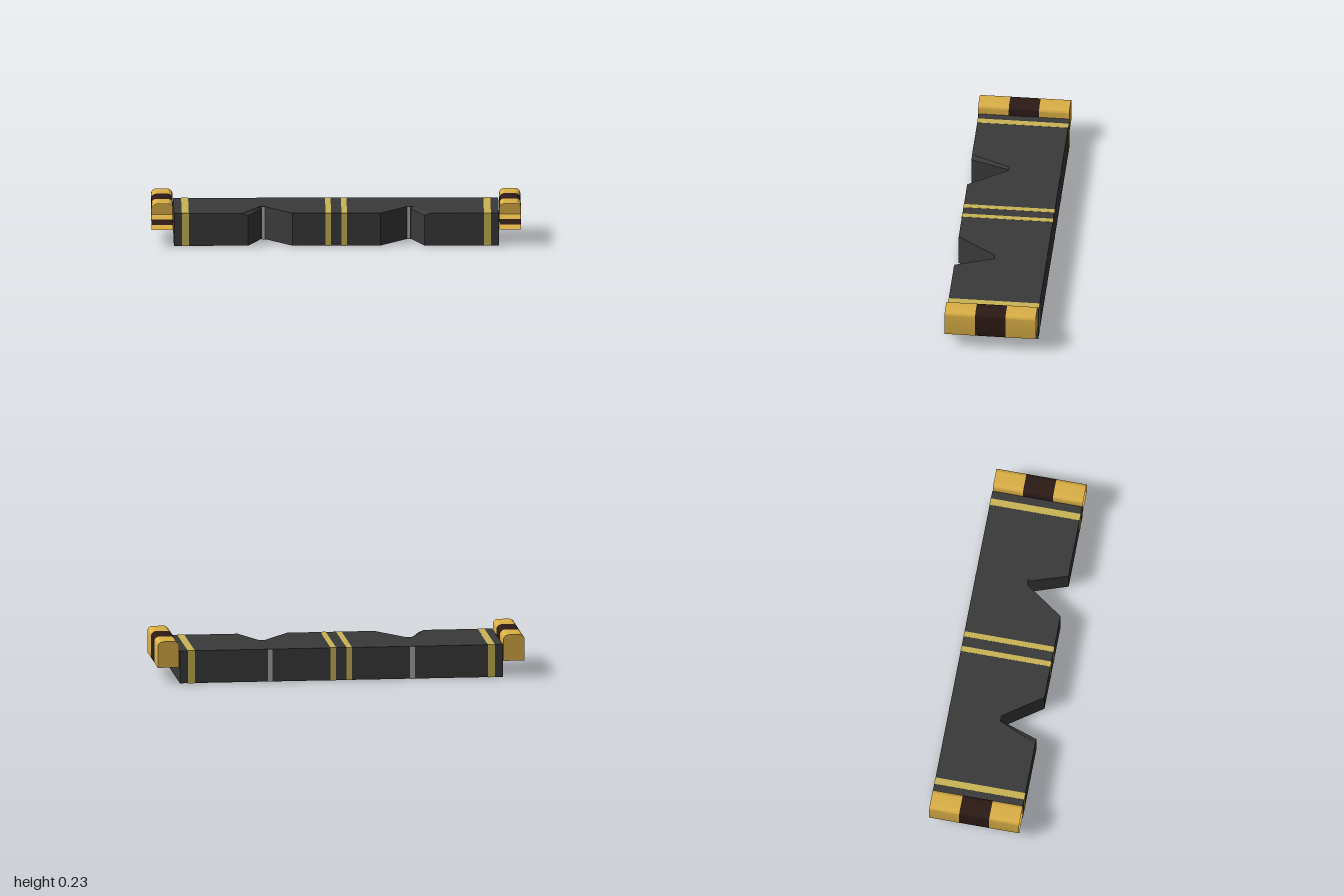
import * as THREE from 'three';
import { toCreasedNormals } from 'three/addons/utils/BufferGeometryUtils.js';

const mat = (color, side = THREE.FrontSide) => new THREE.MeshStandardMaterial({ color, side });

const HALF = 0.88, HEIGHT = 0.178, BEVEL = 0.012, BACK = -0.249, FRONT = 0.246;

// Plan outline of the plate with its two front notches, as (x, -z)
function outline() {
  const right = [[0.238, FRONT], [0.385, 0.035], [0.406, 0.035], [0.478, FRONT], [HALF, FRONT], [HALF, BACK]];
  const left = right.map(([x, z]) => [-x, z]).reverse();
  return new THREE.Shape([...left, ...right].map(([x, z]) => new THREE.Vector2(x, -z)));
}

function slab(y, depth) {
  const g = new THREE.ExtrudeGeometry(outline(), { depth, bevelEnabled: false });
  g.rotateX(-Math.PI / 2);
  g.translate(0, y, 0);
  return g;
}

// Push the top rim of each notch's outer edge outwards to form a bevel
function bevelNotches(g) {
  const p = g.attributes.position;
  for (let i = 0; i < p.count; i++) {
    const x = p.getX(i), ax = Math.abs(x);
    if (p.getY(i) > HEIGHT - 0.001 && ax > 0.4 && ax < 0.5) {
      p.setX(i, x + Math.sign(x) * (ax > 0.45 ? 0.03 : 0.01));
    }
  }
  g.computeVertexNormals();
  return g;
}

// Cross-section of an end bar: square below, rounded above
function barProfile() {
  const w = 0.058, y0 = 0.087, y1 = 0.23, r = 0.028;
  const s = new THREE.Shape();
  s.moveTo(-w, y0);
  s.lineTo(w, y0);
  s.lineTo(w, y1 - r);
  s.absarc(w - r, y1 - r, r, 0, Math.PI / 2);
  s.lineTo(-w + r, y1);
  s.absarc(-w + r, y1 - r, r, Math.PI / 2, Math.PI);
  s.lineTo(-w, y0);
  return s;
}

// Open tube of the bar profile between two depths
function barTube(z0, z1) {
  const pts = barProfile().getPoints(6);
  const v = [];
  for (let i = 0; i < pts.length - 1; i++) {
    const a = pts[i], b = pts[i + 1];
    if (a.distanceTo(b) < 1e-6) continue;
    v.push(a.x, a.y, z0, b.x, b.y, z0, b.x, b.y, z1, a.x, a.y, z0, b.x, b.y, z1, a.x, a.y, z1);
  }
  const g = new THREE.BufferGeometry();
  g.setAttribute('position', new THREE.Float32BufferAttribute(v, 3));
  return toCreasedNormals(g, 0.6);
}

export function createModel() {
  const model = new THREE.Group();
  const dark = mat(0x3a3a3a), yellow = mat(0xc9b455), grey = mat(0xa9a9a9);
  const gold = mat(0xdbb046, THREE.DoubleSide), brown = mat(0x2c1a16, THREE.DoubleSide);

  const add = (name, geometry, material, parent = model) => {
    const m = new THREE.Mesh(geometry, material);
    m.name = name;
    parent.add(m);
    return m;
  };

  // Notched plate
  add('plate', slab(0, HEIGHT - BEVEL), dark);
  add('plateTop', bevelNotches(slab(HEIGHT - BEVEL, BEVEL)), dark);

  for (const side of [-1, 1]) {
    // Yellow bands wrapping the plate
    for (const [x, w] of [[0.818, 0.038], [0.043, 0.03]]) {
      const band = add('yellowBand', new THREE.BoxGeometry(w, HEIGHT + 0.002, FRONT - BACK + 0.002), yellow);
      band.position.set(side * x, HEIGHT / 2, (FRONT + BACK) / 2);
    }

    // Grey seam under and behind the plate, ending in the notch
    const seam = add('greySeam', new THREE.BoxGeometry(0.026, HEIGHT - 0.001, 0.286), grey);
    seam.position.set(side * 0.388, HEIGHT / 2 - 0.0015, -0.107);

    // Hollow end bar, open at the front
    const bar = new THREE.Group();
    bar.name = 'endBar';
    bar.position.x = side * 0.942;
    add('barFront', barTube(0.083, 0.249), gold, bar);
    add('barGrip', barTube(-0.082, 0.083), brown, bar);
    add('barBack', barTube(-0.247, -0.082), gold, bar);
    const cap = add('barBackCap', new THREE.ShapeGeometry(barProfile(), 6), gold, bar);
    cap.rotation.y = Math.PI;
    cap.position.z = -0.247;
    model.add(bar);
  }

  return model;
}
